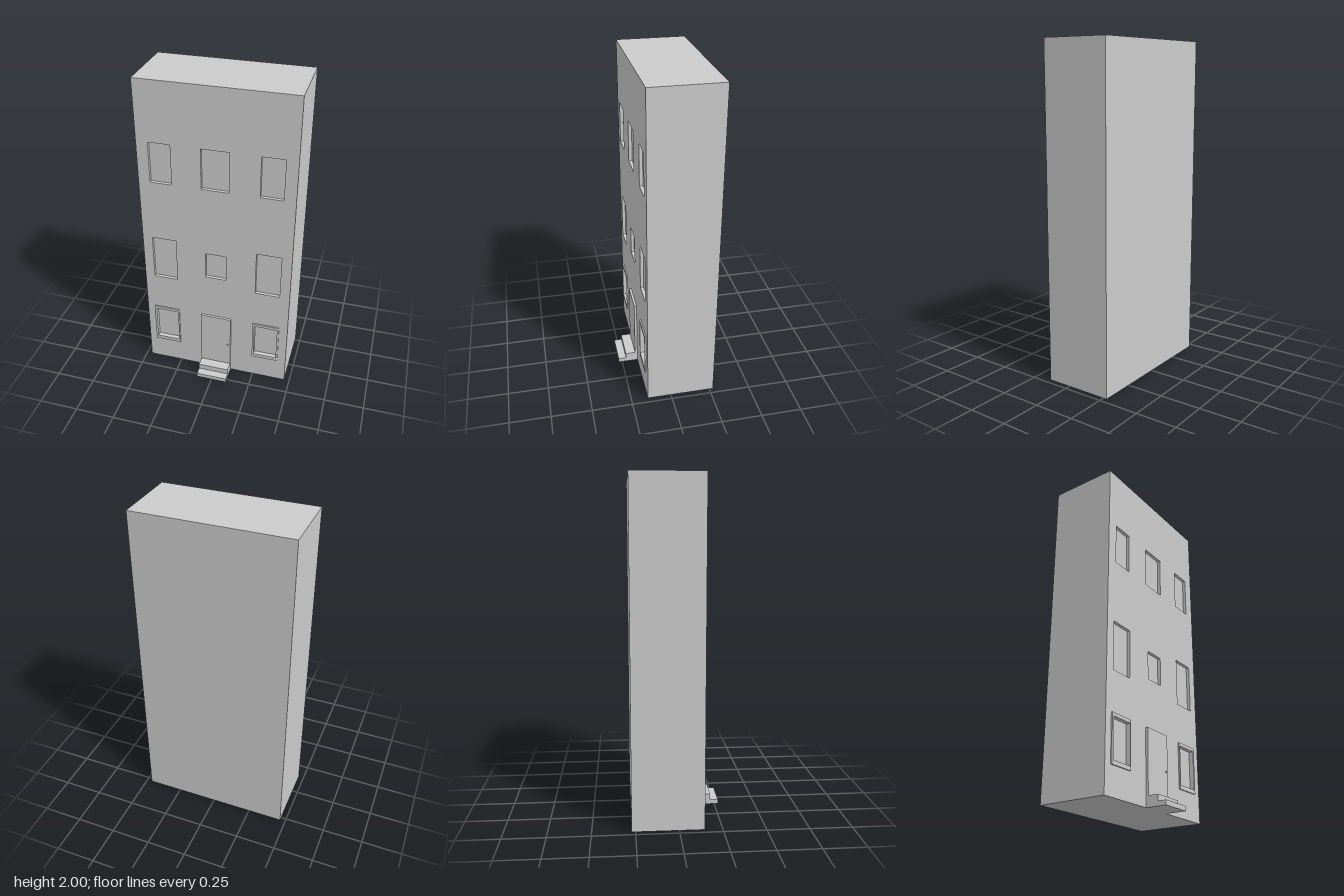
import * as THREE from 'three';

const material = new THREE.MeshStandardMaterial({ color: 0xcccccc, flatShading: true });
const BACK = -0.273, WALL = 0.147, RECESS = 0.02;

function addMesh(parent, name, geometry) {
  const mesh = new THREE.Mesh(geometry, material);
  mesh.name = name;
  parent.add(mesh);
  return mesh;
}

// Box given by its limits on each axis
function addBlock(parent, name, [x0, x1], [y0, y1], [z0, z1]) {
  const mesh = addMesh(parent, name, new THREE.BoxGeometry(x1 - x0, y1 - y0, z1 - z0));
  mesh.position.set((x0 + x1) / 2, (y0 + y1) / 2, (z0 + z1) / 2);
}

function rectangle(PathType, [x0, x1, y0, y1]) {
  return new PathType([[x0, y0], [x1, y0], [x1, y1], [x0, y1]].map(p => new THREE.Vector2(...p)));
}

// Flat slab with rectangular openings, from z0 to z1
function addPanel(parent, name, outline, openings, z0, z1) {
  const shape = rectangle(THREE.Shape, outline);
  shape.holes = openings.map(o => rectangle(THREE.Path, o));
  const geometry = new THREE.ExtrudeGeometry(shape, { depth: z1 - z0, bevelEnabled: false });
  addMesh(parent, name, geometry).position.z = z0;
}

export function createModel() {
  const house = new THREE.Group();
  house.name = 'townhouse';

  // Window openings: x0, x1, y0, y1
  const groundWindows = [[-0.405, -0.257, 0.19, 0.425], [0.253, 0.401, 0.19, 0.425]];
  const upperWindows = [
    [-0.405, -0.253, 0.69, 0.985], [-0.067, 0.064, 0.75, 0.927], [0.25, 0.403, 0.69, 0.985],
    [-0.395, -0.263, 1.375, 1.63], [-0.085, 0.08, 1.375, 1.63], [0.26, 0.395, 1.375, 1.63],
  ];

  // Solid body, whose front forms the window panes, and the pierced front wall
  addBlock(house, 'body', [-0.466, 0.466], [0, 2], [BACK, WALL - RECESS]);
  addPanel(house, 'frontWall', [-0.466, 0.466, 0, 2],
    [...groundWindows, ...upperWindows], WALL - RECESS, WALL);

  // Raised surrounds of the ground floor windows
  const surrounds = [[-0.418, -0.249, 0.165, 0.445], [0.242, 0.412, 0.165, 0.445]];
  surrounds.forEach((outline, i) =>
    addPanel(house, 'windowFrame', outline, [groundWindows[i]], WALL, 0.155));

  // Door with knob
  addBlock(house, 'door', [-0.1, 0.098], [0.064, 0.445], [WALL, 0.162]);
  const knob = addMesh(house, 'doorKnob', new THREE.SphereGeometry(0.006, 12, 8));
  knob.position.set(0.08, 0.23, 0.162);

  // Entrance steps
  addBlock(house, 'lowerStep', [-0.1, 0.098], [0, 0.028], [WALL, 0.273]);
  addBlock(house, 'upperStep', [-0.1, 0.098], [0.028, 0.064], [WALL, 0.224]);

  return house;
}
